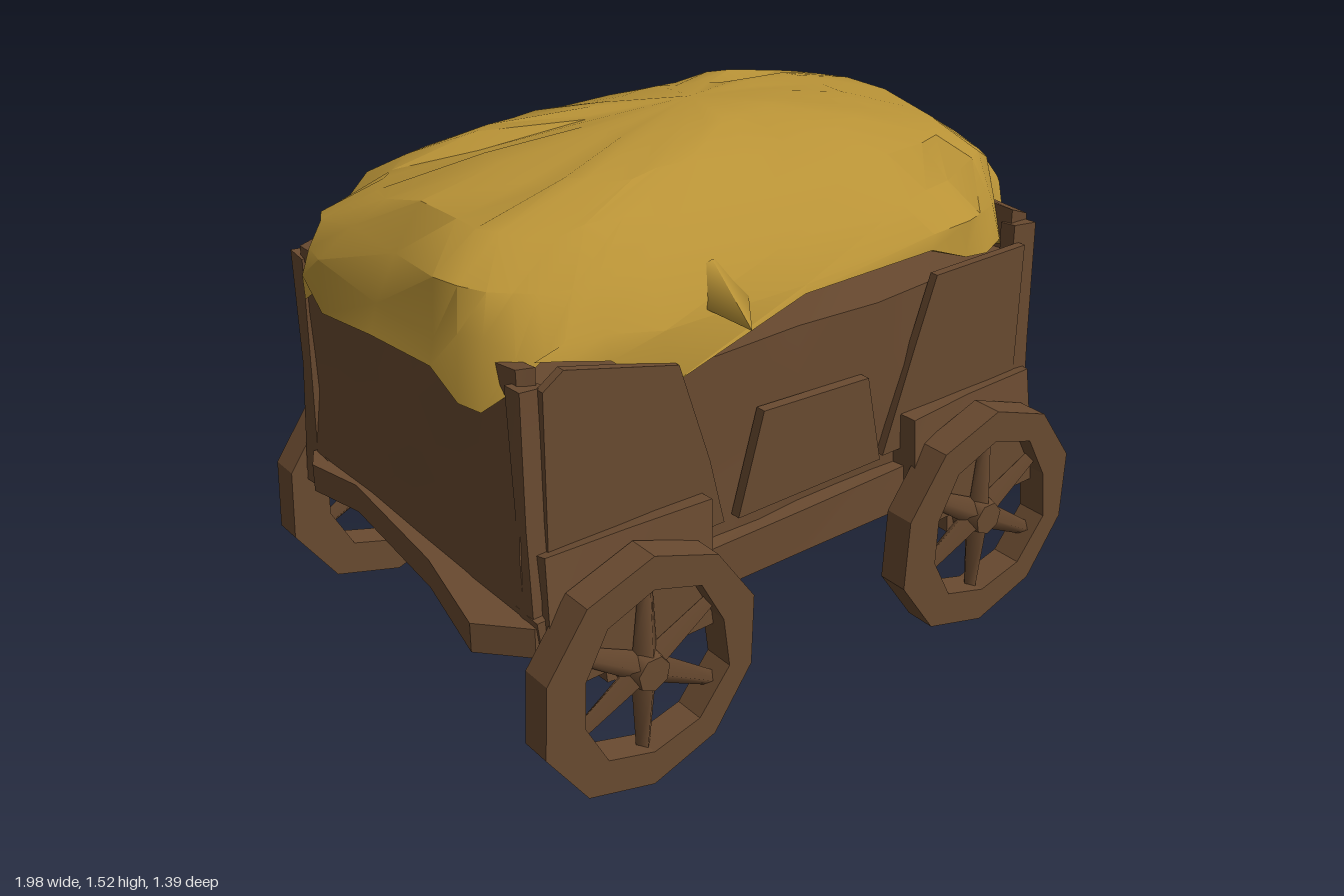
import * as THREE from 'three';
import { toCreasedNormals } from 'three/addons/utils/BufferGeometryUtils.js';

// repeatable noise in -1..1 from a position
function noise(x, y, z) {
  const s = Math.sin(x * 127.1 + y * 311.7 + z * 74.7) * 43758.5453;
  return 2 * (s - Math.floor(s)) - 1;
}

// roughly hewn box: corners shift a little, top can taper inwards
function hewnBox(x0, x1, y0, y1, z0, z1, seg = [1, 1, 1], rough = 0.01, taper = 0) {
  const g = new THREE.BoxGeometry(x1 - x0, y1 - y0, z1 - z0, ...seg);
  g.translate((x0 + x1) / 2, (y0 + y1) / 2, (z0 + z1) / 2);
  const p = g.attributes.position;
  for (let i = 0; i < p.count; i++) {
    const [x, y, z] = [p.getX(i), p.getY(i), p.getZ(i)].map(v => Math.round(v * 1000) / 1000);
    const t = (y - y0) / (y1 - y0);
    p.setXYZ(i, x + rough * noise(x, y, z), y + rough * noise(y, z, x), z * (1 - taper * t) + rough * noise(z, x, y));
  }
  return toCreasedNormals(g, 0.35);
}

// rounded-rectangle heap of hay built from stacked rings
function hayGeometry() {
  const N = 36;
  // height of the ragged lower edge, going round from the +x end
  const edge = [1.06, 1.12, 1.19, 1.07, 1.02, 1.09, 1.1, 1.12, 1.17, 1.17, 1.03, 1.15,
    1.18, 1.19, 1.1, 1.05, 1.08, 1.15, 1.12, 1.08, 1.15, 1.05, 1.06, 1.14,
    1.08, 1.15, 1.14, 1.12, 1.1, 1.12, 1.13, 1.17, 1.07, 1.2, 1.19, 1.01];
  // half length, half depth, height (null follows the edge), roughness, squareness, x and z shift
  const rings = [[0, 0, 1.18, 0, 0.42, 0, 0], [0.82, 0.48, 1.18, 0, 0.42, 0, 0],
    [0.96, 0.56, null, 0.015, 0.42, 0, -0.01], [0.94, 0.545, 1.22, 0.025, 0.42, 0, -0.015],
    [0.89, 0.5, 1.32, 0.03, 0.45, 0, -0.03], [0.79, 0.41, 1.41, 0.02, 0.55, 0.01, -0.02],
    [0.56, 0.31, 1.465, 0.02, 0.7, 0.02, -0.03], [0.3, 0.17, 1.505, 0.01, 0.9, 0.06, -0.04], [0, 0, 1.525, 0, 1, 0.1, -0.05]];
  const pos = [], idx = [];
  const pw = (v, e) => Math.sign(v) * Math.abs(v) ** e;
  rings.forEach(([a, b, h, r, e, dx, dz], k) => {
    for (let j = 0; j < N; j++) {
      const t = j / N * Math.PI * 2;
      // neighbouring points move in pairs, giving broad clumps
      const c = Math.floor((j + k % 2) % N / 2);
      pos.push(a * pw(Math.cos(t), e) + dx + r * noise(c, k, 1), (h ?? edge[j]) + r * noise(c, k, 2),
        b * pw(Math.sin(t), e) + dz + r * noise(c, k, 3));
      if (k === rings.length - 1) continue;
      const p = k * N + j, q = k * N + (j + 1) % N;
      idx.push(p, p + N, q, q, p + N, q + N);
    }
  });
  const g = new THREE.BufferGeometry();
  g.setAttribute('position', new THREE.Float32BufferAttribute(pos, 3));
  g.setIndex(idx);
  return toCreasedNormals(g, 0.6);
}

// flat board from outline points, extruded along z
function board(points, depth, holes = []) {
  const shape = new THREE.Shape(points.map(p => new THREE.Vector2(...p)));
  shape.holes = holes.map(h => new THREE.Path(h.map(p => new THREE.Vector2(...p))));
  return new THREE.ExtrudeGeometry(shape, { depth, bevelEnabled: false });
}

// uneven ten-sided ring of points for the wheel rim
function ringPoints(r, wobble) {
  return Array.from({ length: 10 }, (_, i) => {
    const t = i / 10 * Math.PI * 2 + 0.31, s = r + wobble * noise(i, r, 4);
    return [Math.cos(t) * s, Math.sin(t) * s];
  });
}

export function createModel() {
  const model = new THREE.Group();
  const wood = new THREE.MeshStandardMaterial({ color: 0x694a30 });
  wood.name = 'brown wood';
  const hay = new THREE.MeshStandardMaterial({ color: 0xb89236 });
  hay.name = 'golden hay';
  const grey = new THREE.MeshStandardMaterial({ color: 0xa8a8ac });
  grey.name = 'grey underside';
  const add = (parent, name, geometry, material = wood) => {
    const m = new THREE.Mesh(geometry, material);
    m.name = name;
    parent.add(m);
    return m;
  };

  // wagon box, floor, end boards, corner posts and upper boards
  add(model, 'wagonBox', hewnBox(-0.85, 0.85, 0.45, 1.07, -0.565, 0.545, [6, 3, 4], 0.018, 0.04));
  add(model, 'floorBoard', hewnBox(-0.84, 0.84, 0.41, 0.47, 0.02, 0.52, [2, 1, 1], 0.006));
  for (const s of [-1, 1]) {
    add(model, 'endBoard', hewnBox(s * 0.84 - 0.025, s * 0.84 + 0.025, 0.5, 1.18, -0.555, 0.53, [1, 3, 4], 0.015, 0.05));
    for (const z of [-0.57, 0.545])
      add(model, 'cornerPost', hewnBox(s * 0.835 - 0.04, s * 0.835 + 0.04, 0.44, 1.15, z - 0.03, z + 0.025, [1, 2, 1], 0.008, 0.06));
  }
  add(model, 'backBoard', hewnBox(-0.82, 0.82, 0.6, 1.17, -0.585, -0.545, [5, 2, 1], 0.012, 0.04));
  add(model, 'frontCornerBoard', board([[-0.82, 0.6], [-0.27, 0.6], [-0.32, 0.8], [-0.42, 1.1], [-0.76, 1.19], [-0.82, 1.15]], 0.025)).position.z = 0.535;
  add(model, 'frontBrace', board([[0.3, 0.6], [0.82, 0.6], [0.82, 1.1], [0.47, 1.1], [0.4, 0.9]], 0.025)).position.z = 0.535;

  // raised panel on each long side
  const panelGeo = board([[-0.23, 0.6], [0.28, 0.6], [0.22, 0.87], [-0.15, 0.89]], 0.03);
  add(model, 'frontPanel', panelGeo).position.z = 0.54;
  const backPanel = add(model, 'backPanel', panelGeo);
  backPanel.rotation.y = Math.PI;
  backPanel.position.z = -0.565;

  // sills along both sides
  add(model, 'frontSill', hewnBox(-0.87, 0.87, 0.42, 0.55, 0.48, 0.585, [4, 1, 1], 0.012));
  add(model, 'backSill', hewnBox(-0.87, 0.87, 0.42, 0.55, -0.6, -0.48, [4, 1, 1], 0.012));

  // bent end ledges, the same plank turned half round
  const plan = [[0.8, -0.58], [0.88, -0.58], [0.99, -0.46], [0.92, -0.15], [0.88, 0.3], [0.92, 0.48], [0.88, 0.55], [0.8, 0.55]];
  const ledge = board(plan.map(([x, z]) => [x, -z]), 0.085).rotateX(-Math.PI / 2);
  for (const a of [0, Math.PI]) {
    const m = add(model, 'endLedge', ledge);
    m.position.y = 0.45;
    m.rotation.y = a;
  }

  // sloping grey plate under the back half of the floor
  const plate = add(model, 'undersidePlate',
    board([[-0.75, -0.58], [0.52, -0.58], [0.36, -0.19], [-0.56, 0.17], [-0.75, 0.35]], 0.008).rotateX(Math.PI / 2), grey);
  plate.position.y = 0.412;
  plate.rotation.z = 0.055;

  // axles, bearers, splinters and wheels
  const rim = board(ringPoints(0.342, 0.012), 0.09, [ringPoints(0.24, 0.02)]).translate(0, 0, -0.045);
  const hub = new THREE.CylinderGeometry(0.05, 0.07, 0.09, 7).rotateX(Math.PI / 2);
  const spokeGeo = new THREE.CylinderGeometry(0.02, 0.04, 0.24, 4);
  const web = board([[-0.25, 0.03], [0.25, 0.03], [0.2, 0.2], [0, 0.27], [-0.2, 0.2]], 0.03);
  for (const x of [-0.605, 0.61]) {
    add(model, 'axle', hewnBox(x - 0.09, x + 0.09, 0.3, 0.405, -0.62, 0.62, [1, 1, 3], 0.012));
    for (const s of [-1, 1]) {
      add(model, 'bearer', hewnBox(x - 0.25, x + 0.25, 0.42, 0.72, s * 0.585 - 0.045, s * 0.585 + 0.045, [2, 1, 1], 0.015, 0.05));
      const wheel = new THREE.Group();
      wheel.name = 'wheel';
      wheel.position.set(x, 0.345, s * 0.652);
      add(wheel, 'rim', rim);
      add(wheel, 'hub', hub);
      add(wheel, 'web', web).position.z = s < 0 ? 0.005 : -0.035;
      for (let i = 0; i < 6; i++) {
        const a = i / 6 * Math.PI * 2 + 0.5;
        const spoke = add(wheel, 'spoke', spokeGeo);
        spoke.position.set(Math.cos(a) * 0.15, Math.sin(a) * 0.15, 0);
        spoke.rotation.z = a - Math.PI / 2;
      }
      model.add(wheel);
    }
  }
  for (const [z, len] of [[0.285, 0.13], [-0.29, 0.24]]) {
    const spike = add(model, 'splinter', new THREE.ConeGeometry(0.02, len, 4).rotateX(Math.PI));
    spike.position.set(-0.6, 0.31 - len / 2, z);
  }

  // heap of hay with a tuft over the front edge
  add(model, 'hayHeap', hayGeometry(), hay);
  const tuft = add(model, 'hayTuft', new THREE.ConeGeometry(0.1, 0.2, 4), hay);
  tuft.scale.set(1.3, 1, 0.6);
  tuft.position.set(-0.25, 1.21, 0.54);
  tuft.rotation.x = 2.0;
  return model;
}
